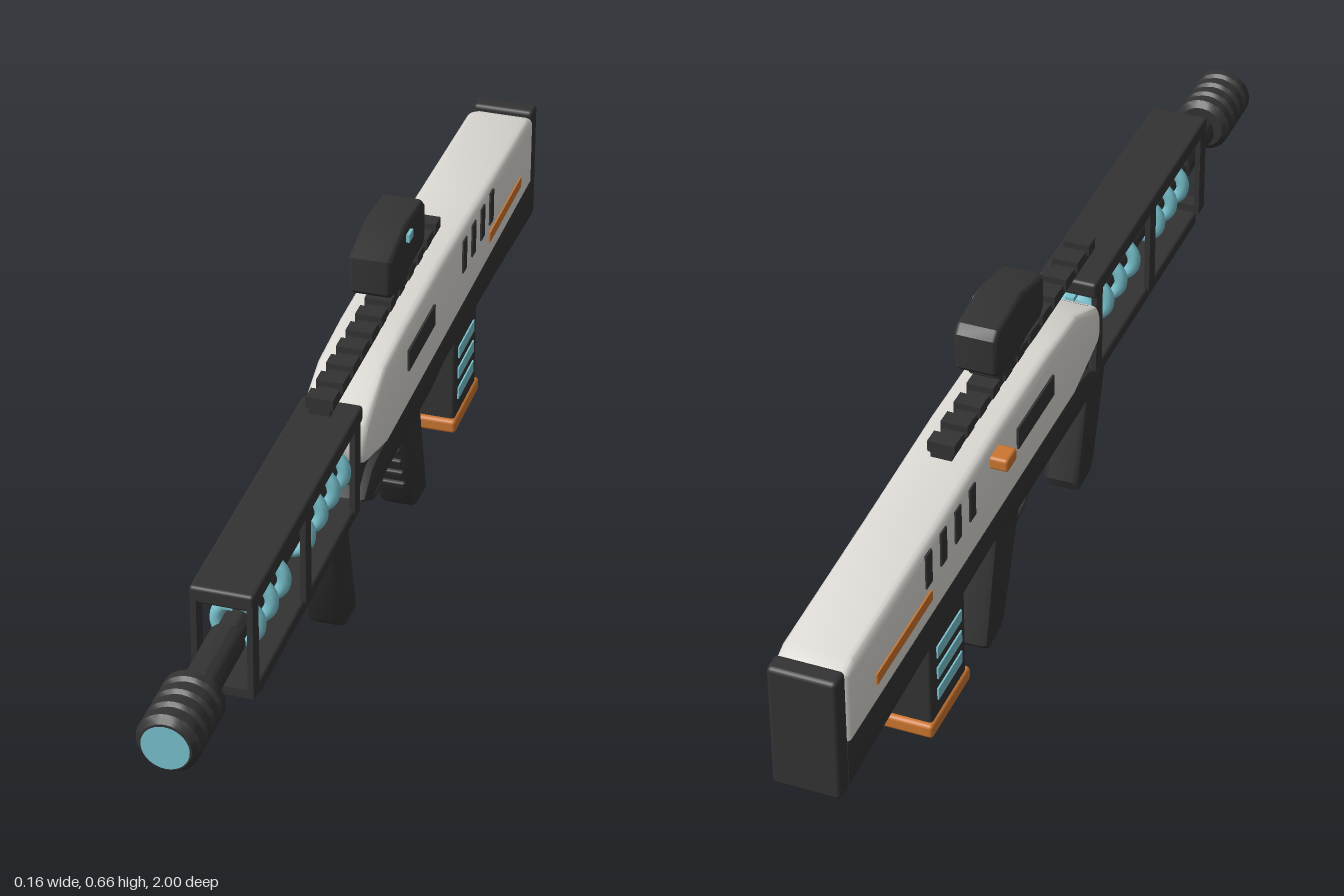
import * as THREE from 'three';
import { toCreasedNormals } from 'three/addons/utils/BufferGeometryUtils.js';
import { RoundedBoxGeometry } from 'three/addons/geometries/RoundedBoxGeometry.js';

const mat = (name, color) => new THREE.MeshStandardMaterial({ name, color });

export function createModel() {
  const dark = mat('charcoal', 0x333334);
  const shell = mat('off white', 0xdedbd6);
  const teal = mat('teal glow', 0x79c3cf);
  const orange = mat('orange', 0xcc7630);

  const root = new THREE.Group();
  root.name = 'rifle';
  const model = new THREE.Group();
  model.name = 'rifleParts';
  model.position.x = 0.0125; // the charging knob sticks out on one side only
  root.add(model);

  const add = (name, geometry, material, x = 0, y = 0, z = 0) => {
    const m = new THREE.Mesh(geometry, material);
    m.name = name;
    m.position.set(x, y, z);
    model.add(m);
    return m;
  };
  // Box given by its extents in y and z, centred on x
  const box = (name, material, w, y0, y1, z0, z1, r = 0, x = 0) => {
    const size = [w, y1 - y0, Math.abs(z1 - z0)];
    const g = r ? new RoundedBoxGeometry(...size, 2, r) : new THREE.BoxGeometry(...size);
    return add(name, g, material, x, (y0 + y1) / 2, (z0 + z1) / 2);
  };
  // Side profile of [z, y] points, extruded across x with bevelled edges
  const slab = (name, material, points, width, bevel, segments = 2) => {
    const shape = new THREE.Shape(points.map(([z, y]) => new THREE.Vector2(z, y)));
    const depth = width - 2 * bevel;
    const g = new THREE.ExtrudeGeometry(shape, {
      depth, bevelEnabled: true, bevelSize: bevel, bevelThickness: bevel,
      bevelOffset: -bevel, bevelSegments: segments,
    });
    g.translate(0, 0, -depth / 2).rotateY(-Math.PI / 2);
    return add(name, toCreasedNormals(g, 0.6), material);
  };
  // Turned part along z, from [radius, z] points running back to front
  const turned = (name, material, points) => {
    const g = new THREE.LatheGeometry(points.map(([r, z]) => new THREE.Vector2(r, z)), 32);
    g.rotateX(Math.PI / 2);
    return add(name, toCreasedNormals(g, 0.6), material, 0, 0.37, 0);
  };

  // Main body
  slab('upperShell', shell, [
    [0.15, 0.41], [0.14, 0.435], [0.03, 0.487], [-0.1, 0.497], [-0.33, 0.499],
    [-0.6, 0.488], [-0.93, 0.478], [-0.96, 0.465], [-0.96, 0.325], [0.02, 0.325],
    [0.14, 0.36], [0.15, 0.38],
  ], 0.126, 0.016, 3);
  slab('lowerBody', dark, [
    [0.15, 0.29], [0.1, 0.325], [0.05, 0.333], [-0.965, 0.333], [-0.965, 0.242],
    [-0.72, 0.257], [-0.36, 0.272], [-0.26, 0.262], [0.1, 0.264], [0.13, 0.275],
  ], 0.122, 0.01);
  box('noseCore', dark, 0.09, 0.275, 0.44, 0.0, 0.13);
  box('buttPad', dark, 0.118, 0.24, 0.478, -0.998, -0.96, 0.008);

  // Side details on both flanks
  for (const s of [-1, 1]) {
    box('sidePanel', dark, 0.008, 0.408, 0.45, -0.26, -0.095, 0, s * 0.063);
    for (let i = 0; i < 4; i++) {
      const z = -0.46 - i * 0.0617;
      box('ventSlot', dark, 0.008, 0.408, 0.474, z - 0.012, z + 0.012, 0, s * 0.062);
    }
    box('accentStripe', orange, 0.008, 0.37, 0.391, -0.86, -0.635, 0, s * 0.062);
  }
  box('chargingKnob', orange, 0.036, 0.45, 0.475, -0.38, -0.337, 0.006, -0.077);

  // Top rail with teeth
  box('rail', dark, 0.038, 0.494, 0.514, -0.436, 0.216);
  for (let i = 0; i < 12; i++) {
    const z = 0.2 - i * 0.0565;
    box('railTooth', dark, 0.048, 0.505, 0.526, z - 0.015, z + 0.015);
  }

  // Sight
  box('sightClamp', dark, 0.05, 0.52, 0.54, -0.235, -0.145, 0.004);
  box('sightBase', dark, 0.056, 0.533, 0.562, -0.25, -0.13, 0.005);
  slab('sightHousing', dark, [
    [-0.07, 0.57], [-0.07, 0.635], [-0.165, 0.66], [-0.272, 0.652], [-0.287, 0.637],
    [-0.287, 0.572], [-0.272, 0.557], [-0.085, 0.557],
  ], 0.078, 0.009, 3);
  box('sightButton', teal, 0.008, 0.626, 0.641, -0.187, -0.163, 0, 0.041);

  // Open handguard cage
  box('cageTop', dark, 0.108, 0.448, 0.479, 0.14, 0.73, 0.006);
  box('cageBottom', dark, 0.1, 0.262, 0.288, 0.14, 0.695, 0.006);
  for (const s of [-1, 1]) {
    for (const z of [0.715, 0.441, 0.165]) {
      box('cagePost', dark, 0.01, 0.28, 0.46, z - 0.015, z + 0.015, 0, s * 0.047);
    }
  }
  box('cageFrontSill', dark, 0.104, 0.28, 0.296, 0.7, 0.73);

  // Barrel, energy coils and muzzle
  turned('barrel', dark, [[0, 0.05], [0.024, 0.05], [0.024, 0.7], [0.031, 0.705],
    [0.031, 0.84], [0.024, 0.85], [0.024, 0.87]]);
  for (const z of [0.65, 0.585, 0.52, 0.387, 0.318, 0.25, 0.19]) {
    add('energyCoil', new THREE.TorusGeometry(0.036, 0.012, 12, 32), teal, 0, 0.37, z);
  }
  box('energyRod', teal, 0.016, 0.424, 0.433, 0.15, 0.7);
  const muzzle = [[0, 0.855], [0.042, 0.855]];
  for (let i = 0; i < 4; i++) {
    const z = 0.86 + i * 0.034;
    muzzle.push([0.047, z], [0.053, z + 0.006], [0.053, z + 0.023], [0.047, z + 0.029]);
  }
  muzzle.push([0.043, 0.998], [0, 0.998]);
  turned('muzzle', dark, muzzle);
  add('muzzleLens', new THREE.CircleGeometry(0.04, 32), teal, 0, 0.37, 1.0);

  // Grips
  slab('foreGrip', dark, [
    [0.255, 0.27], [0.25, 0.24], [0.19, 0.055], [0.175, 0.037], [0.118, 0.034],
    [0.11, 0.055], [0.165, 0.27],
  ], 0.072, 0.012);
  slab('pistolGrip', dark, [
    [-0.165, 0.28], [-0.165, 0.24], [-0.245, 0.03], [-0.265, 0.008], [-0.32, 0.004],
    [-0.334, 0.02], [-0.27, 0.28],
  ], 0.072, 0.012);
  for (let i = 0; i < 5; i++) {
    const y = 0.08 + i * 0.032;
    const rib = box('gripRib', dark, 0.05, y - 0.008, y + 0.008, -0.24, -0.22, 0.004);
    rib.position.z = -0.168 - (0.24 - y) * 0.381;
    rib.rotation.x = 0.36;
  }

  // Trigger and guard
  const curve = (pts) => new THREE.CatmullRomCurve3(
    pts.map(([z, y]) => new THREE.Vector3(0, y, z)));
  add('triggerGuard', new THREE.TubeGeometry(curve([
    [-0.038, 0.275], [-0.038, 0.2], [-0.06, 0.155], [-0.1, 0.135], [-0.145, 0.145],
    [-0.17, 0.18], [-0.18, 0.23],
  ]), 32, 0.007, 8), dark);
  add('trigger', new THREE.TubeGeometry(curve([
    [-0.15, 0.27], [-0.15, 0.235], [-0.132, 0.2],
  ]), 12, 0.007, 8), dark);

  // Magazine with glowing bars and foot plate
  box('magazine', dark, 0.098, 0.075, 0.29, -0.612, -0.462, 0.006);
  box('magazineFoot', orange, 0.108, 0.053, 0.081, -0.622, -0.452, 0.007);
  for (const s of [-1, 1]) {
    for (const y of [0.215, 0.17, 0.125]) {
      box('magazineBar', teal, 0.008, y - 0.012, y + 0.012, -0.587, -0.483, 0, s * 0.048);
    }
  }

  return root;
}
